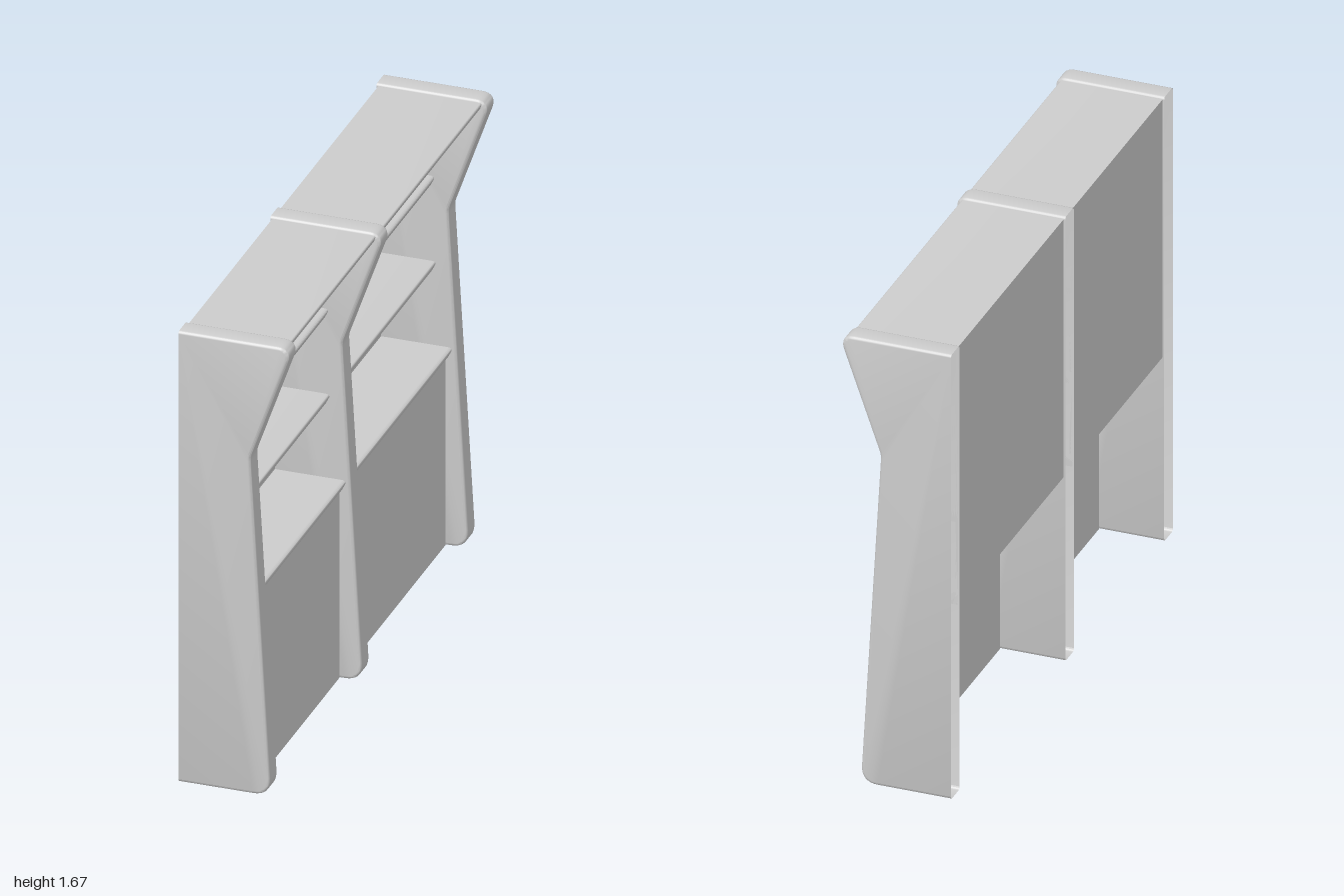
import * as THREE from 'three';
import { toCreasedNormals } from 'three/addons/utils/BufferGeometryUtils.js';

const BACK = -0.195;
const grey = new THREE.MeshStandardMaterial({ color: 0xcccccc, side: THREE.DoubleSide });
grey.name = 'light grey';

// Upright: bevelled profile, left open along its flat back
function uprightGeometry(thickness) {
  const s = new THREE.Shape();
  s.moveTo(BACK - 0.04, 0);
  s.lineTo(0.065, 0);
  s.bezierCurveTo(0.105, 0, 0.127, 0.02, 0.124, 0.065);
  s.lineTo(0.057, 1.225);
  s.quadraticCurveTo(0.056, 1.24, 0.061, 1.255);
  s.lineTo(0.188, 1.615);
  s.bezierCurveTo(0.198, 1.645, 0.185, 1.667, 0.15, 1.667);
  s.lineTo(BACK - 0.04, 1.667);
  s.closePath();
  const bevel = 0.01;
  const g = new THREE.ExtrudeGeometry(s, {
    depth: thickness - 2 * bevel, curveSegments: 8,
    bevelEnabled: true, bevelThickness: bevel, bevelSize: bevel, bevelOffset: -bevel, bevelSegments: 3,
  });
  g.translate(0, 0, bevel - thickness / 2);
  // Flatten the back, then drop the faces lying in that plane
  const p = g.attributes.position;
  const kept = [];
  for (let i = 0; i < p.count; i += 3) {
    const tri = [0, 1, 2].map((k) => [Math.max(p.getX(i + k), BACK), p.getY(i + k), p.getZ(i + k)]);
    if (tri.some((v) => v[0] > BACK + 1e-5)) kept.push(...tri.flat());
  }
  const out = new THREE.BufferGeometry();
  out.setAttribute('position', new THREE.Float32BufferAttribute(kept, 3));
  return toCreasedNormals(out, 0.6);
}

// Shelf: board with a rounded nose that slopes back underneath
function shelfGeometry(front, bottom, top, slope, length) {
  const r = (top - bottom) * 0.25;
  const s = new THREE.Shape();
  s.moveTo(BACK + 0.006, bottom);
  s.lineTo(front - slope - r, bottom);
  s.quadraticCurveTo(front - slope, bottom, front - slope * 0.7, bottom + r);
  s.lineTo(front - slope * 0.15, top - r);
  s.quadraticCurveTo(front, top, front - r * 1.5, top);
  s.lineTo(BACK + 0.006, top);
  s.closePath();
  const g = new THREE.ExtrudeGeometry(s, { depth: length, bevelEnabled: false, curveSegments: 5 });
  g.translate(0, 0, -length / 2);
  return toCreasedNormals(g, 0.6);
}

export function createModel() {
  const root = new THREE.Group();
  root.name = 'shelvingUnit';
  const add = (parent, name, geometry, x, y, z) => {
    const m = new THREE.Mesh(geometry, grey);
    m.name = name;
    m.position.set(x, y, z);
    parent.add(m);
  };

  // Uprights
  const upright = uprightGeometry(0.078);
  [['leftUpright', 0.961], ['middleUpright', 0.069], ['rightUpright', -0.961]]
    .forEach(([name, z]) => add(root, name, upright, 0, 0, z));

  // Bays between the uprights
  const shelves = [
    ['counterShelf', 0.072, 0.69, 0.735, 0.02],
    ['middleShelf', 0.015, 1.0, 1.045, 0.02],
    ['upperShelf', 0.01, 1.315, 1.36, 0.02],
    ['topBoard', 0.175, 1.632, 1.658, 0.008],
  ];
  [['wideBay', 0.03, -0.922], ['narrowBay', 0.922, 0.108]].forEach(([name, z1, z0]) => {
    const bay = new THREE.Group();
    bay.name = name;
    bay.position.z = (z0 + z1) / 2;
    root.add(bay);
    const length = z1 - z0;
    for (const [part, front, bottom, top, slope] of shelves) {
      add(bay, part, shelfGeometry(front, bottom, top, slope, length), 0, 0, 0);
    }
    // Back panels, one above each shelf
    for (let i = 0; i < 3; i++) {
      const low = shelves[i][3], high = shelves[i + 1][2];
      add(bay, 'backPanel', new THREE.BoxGeometry(0.01, high - low, length), BACK + 0.011, (low + high) / 2, 0);
    }
    // Lower front panel under the counter shelf
    add(bay, 'lowerPanel', new THREE.BoxGeometry(0.01, 0.69, length), 0.042, 0.345, 0);
  });
  return root;
}
